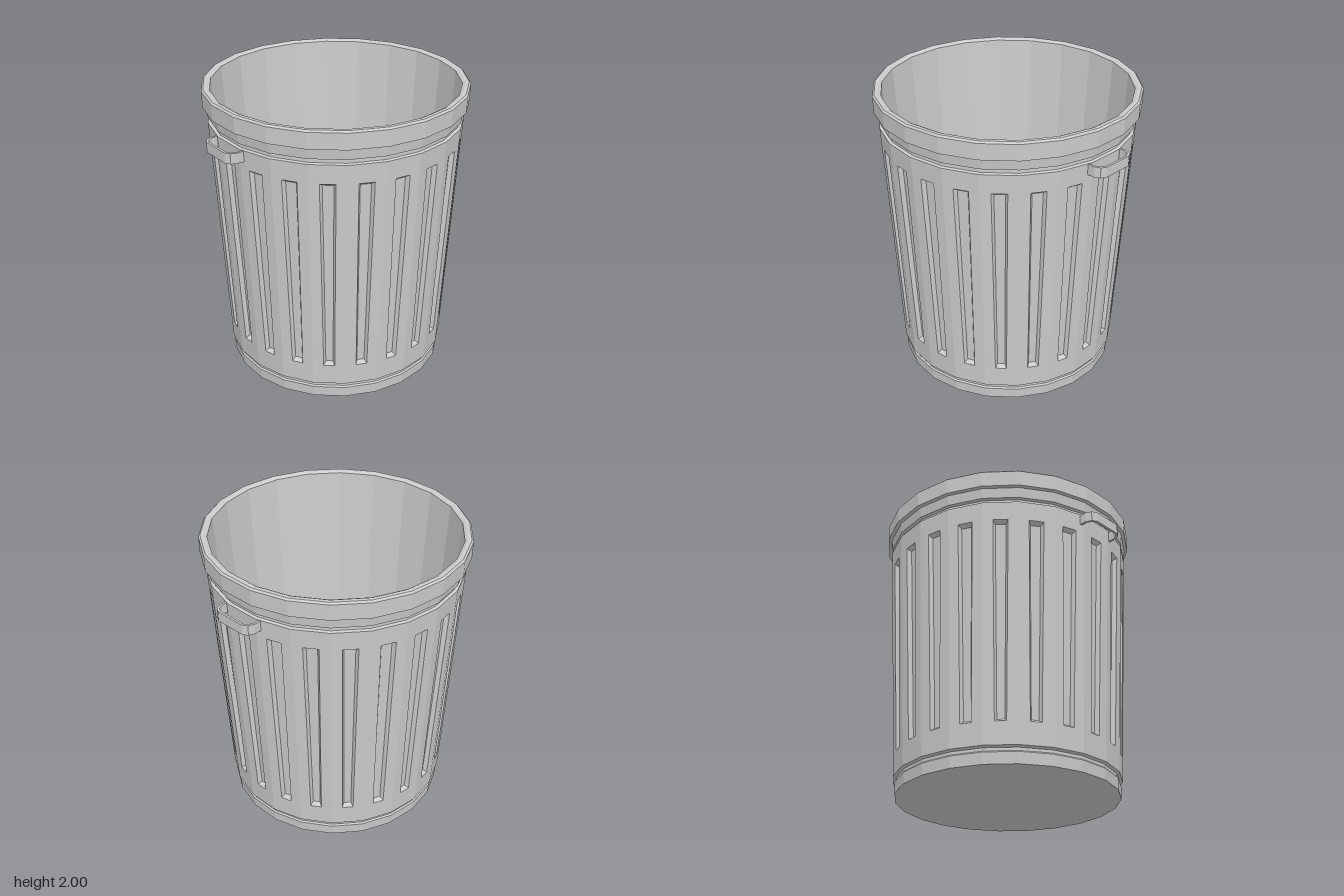
import * as THREE from 'three';
import { mergeGeometries } from 'three/addons/utils/BufferGeometryUtils.js';

const SIDES = 22;
const STEP = (Math.PI * 2) / SIDES;
const BODY_BOTTOM = 0.115, BODY_TOP = 1.77;

// Corner radius of the tapered body at height y
const bodyRadius = y => 0.757 + (0.845 - 0.757) * (y - BODY_BOTTOM) / (BODY_TOP - BODY_BOTTOM);

const material = new THREE.MeshStandardMaterial({ color: 0xcccccc, flatShading: true });

function lathe(name, profile) {
  const points = profile.map(([r, y]) => new THREE.Vector2(r, y));
  const mesh = new THREE.Mesh(new THREE.LatheGeometry(points, SIDES, STEP / 2), material);
  mesh.name = name;
  return mesh;
}

// Four corners on the flat face of the body, sunk inwards by depth
function corners(y0, half0, y1, half1, depth) {
  const z = y => bodyRadius(y) * Math.cos(STEP / 2) - depth;
  return [[-half0, y0, z(y0)], [half0, y0, z(y0)], [half1, y1, z(y1)], [-half1, y1, z(y1)]];
}

// One flat side of the body with a bevelled vertical recess
function panelGeometry() {
  const edge = y => bodyRadius(y) * Math.sin(STEP / 2);
  const rings = [
    corners(BODY_BOTTOM, edge(BODY_BOTTOM), BODY_TOP, edge(BODY_TOP), 0),
    corners(0.265, 0.037, 1.64, 0.05, 0),
    corners(0.285, 0.024, 1.62, 0.035, 0.028),
  ];
  const positions = [];
  const quad = (a, b, c, d) => positions.push(...a, ...b, ...c, ...a, ...c, ...d);
  for (let r = 0; r < 2; r++) {
    for (let i = 0; i < 4; i++) {
      const j = (i + 1) % 4;
      quad(rings[r][i], rings[r][j], rings[r + 1][j], rings[r + 1][i]);
    }
  }
  quad(...rings[2]);
  const geometry = new THREE.BufferGeometry();
  geometry.setAttribute('position', new THREE.Float32BufferAttribute(positions, 3));
  geometry.computeVertexNormals();
  return geometry;
}

// Thin bracket with cut corners, extruded upwards
function handleGeometry() {
  const outer = [[0.155, 0.82], [0.155, 0.872], [0.138, 0.91], [0.105, 0.93]];
  const inner = [[0.14, 0.82], [0.14, 0.869], [0.127, 0.898], [0.1, 0.915]];
  const mirror = list => list.map(([x, z]) => [-x, z]).reverse();
  const outline = [...outer, ...mirror(outer), ...mirror(inner).reverse(), ...[...inner].reverse()];
  const shape = new THREE.Shape(outline.map(([x, z]) => new THREE.Vector2(x, -z)));
  const geometry = new THREE.ExtrudeGeometry(shape, { depth: 0.07, bevelEnabled: false });
  geometry.rotateX(-Math.PI / 2);
  geometry.translate(0, 1.695, 0);
  return geometry;
}

export function createModel() {
  const model = new THREE.Group();
  model.name = 'trashCan';

  // Underside, foot band and lower groove
  model.add(lathe('base', [
    [0, 0], [0.743, 0], [0.748, 0.075], [0.738, 0.085], [0.738, 0.105], [0.757, BODY_BOTTOM],
  ]));

  // Fluted side wall
  const panels = [];
  for (let i = 0; i < SIDES; i++) panels.push(panelGeometry().rotateY(i * STEP));
  const body = new THREE.Mesh(mergeGeometries(panels), material);
  body.name = 'flutedBody';
  model.add(body);

  // Upper groove, collar and rolled rim
  model.add(lathe('rim', [
    [0.845, BODY_TOP], [0.825, 1.775], [0.825, 1.797], [0.843, 1.805], [0.852, 1.875],
    [0.875, 1.88], [0.877, 1.988], [0.865, 2], [0.842, 2], [0.822, 1.99],
  ]));

  // Inner wall and floor
  model.add(lathe('interior', [[0.822, 1.99], [0.705, 0.05], [0, 0.05]]));

  // Handles on the front and back
  ['frontHandle', 'backHandle'].forEach((name, i) => {
    const handle = new THREE.Mesh(handleGeometry(), material);
    handle.name = name;
    handle.rotation.y = i * Math.PI;
    model.add(handle);
  });

  return model;
}
